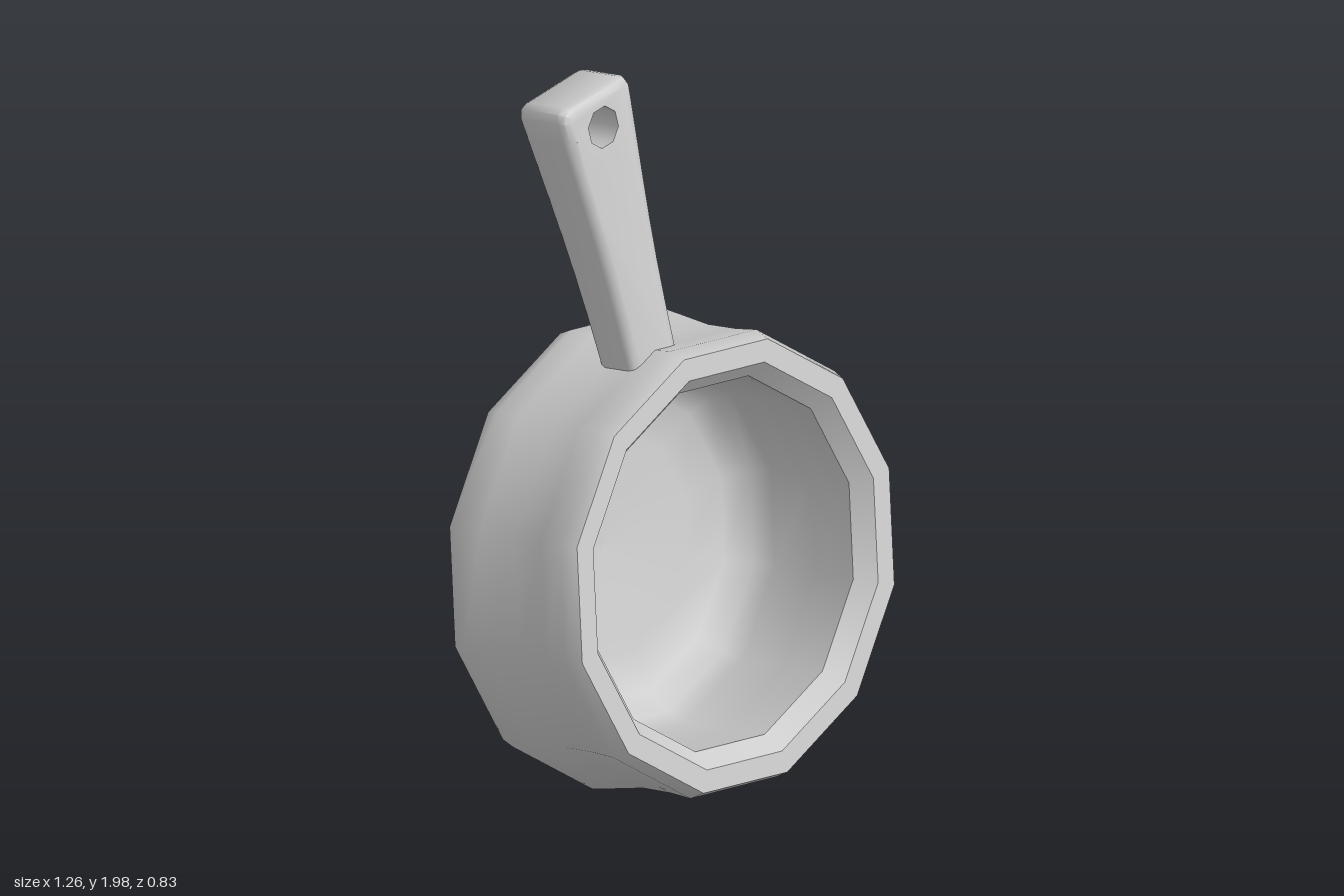
import * as THREE from 'three';
import { toCreasedNormals } from 'three/addons/utils/BufferGeometryUtils.js';

const SIDES = 12;
const HOLE_U = 1.258, HOLE_R = 0.056;

// Profiles are [radius, height along the pan axis], rim at height 0
const outerWall = [[0, -0.579], [0.26, -0.562], [0.44, -0.538], [0.515, -0.515], [0.585, -0.475],
  [0.615, -0.448], [0.632, -0.4], [0.623, -0.33], [0.608, -0.22], [0.609, -0.12], [0.615, -0.045], [0.596, 0]];
const rim = [[0.596, 0], [0.535, 0]];
const rimBevel = [[0.535, 0], [0.493, -0.05]];
const innerWall = [[0.493, -0.05], [0.5, -0.2], [0.497, -0.34], [0.475, -0.4], [0.42, -0.45], [0.3, -0.472], [0, -0.485]];

function turned(name, profile, material) {
  const geometry = new THREE.LatheGeometry(profile.map(([r, y]) => new THREE.Vector2(r, y)), SIDES);
  const mesh = new THREE.Mesh(geometry, material);
  mesh.name = name;
  return mesh;
}

// Flared bar with rounded edges and a hanging hole
function handleGeometry() {
  const half = [[0.083, 0.56], [0.087, 0.72], [0.092, 0.84], [0.099, 0.95], [0.108, 1.06], [0.117, 1.16],
    [0.126, 1.26], [0.131, 1.325], [0.122, 1.348], [0.1, 1.357]];
  const outline = [...half, ...half.map(([x, u]) => [-x, u]).reverse()];
  const shape = new THREE.Shape(outline.map(([x, u]) => new THREE.Vector2(x, u)));
  const hole = [];
  for (let i = 0; i < 8; i++) {
    const a = -(i + 0.5) * Math.PI / 4;
    hole.push(new THREE.Vector2(HOLE_R * Math.cos(a), HOLE_U + HOLE_R * Math.sin(a)));
  }
  shape.holes.push(new THREE.Path(hole));
  const geometry = new THREE.ExtrudeGeometry(shape, { depth: 1, steps: 5, bevelEnabled: false });

  // Layers through the thickness: round off the outline, leave the hole straight
  const inset = [0.025, 0.007, 0, 0, 0.007, 0.025];
  const drop = [0, 0.007, 0.025, 0.025, 0.007, 0];
  const p = geometry.attributes.position;
  for (let i = 0; i < p.count; i++) {
    let x = p.getX(i), u = p.getY(i);
    const layer = Math.round(p.getZ(i) * 5);
    const thick = 0.068 + 0.02 * (u - 0.6) / 0.75;
    const side = layer < 3 ? -1 : 1;
    const z = -0.171 + side * (thick - drop[layer]);
    if (Math.hypot(x, u - HOLE_U) > HOLE_R + 0.005) {
      x -= Math.sign(x) * inset[layer];
      if (u > 1.3) u -= inset[layer] * (u - 1.3) / 0.057;
    }
    p.setXYZ(i, x, u, z);
  }
  geometry.rotateX(-Math.PI / 2);
  return toCreasedNormals(geometry, 0.9);
}

export function createModel() {
  const material = new THREE.MeshStandardMaterial({ color: 0xcccccc });
  const model = new THREE.Group();
  model.name = 'saucepan';

  // Pan body, turned about its own axis
  const pan = new THREE.Group();
  pan.name = 'pan';
  pan.add(
    turned('outerWall', outerWall, material),
    turned('rim', rim, material),
    turned('rimBevel', rimBevel, material),
    turned('innerWall', innerWall, material),
  );

  const handle = new THREE.Mesh(handleGeometry(), material);
  handle.name = 'handle';

  // Tip the whole piece up so the opening faces forward
  const tilted = new THREE.Group();
  tilted.name = 'tiltedPan';
  tilted.add(pan, handle);
  tilted.rotation.x = 1.264;
  tilted.position.set(0, 0.735, 0.2425);
  model.add(tilted);
  return model;
}
